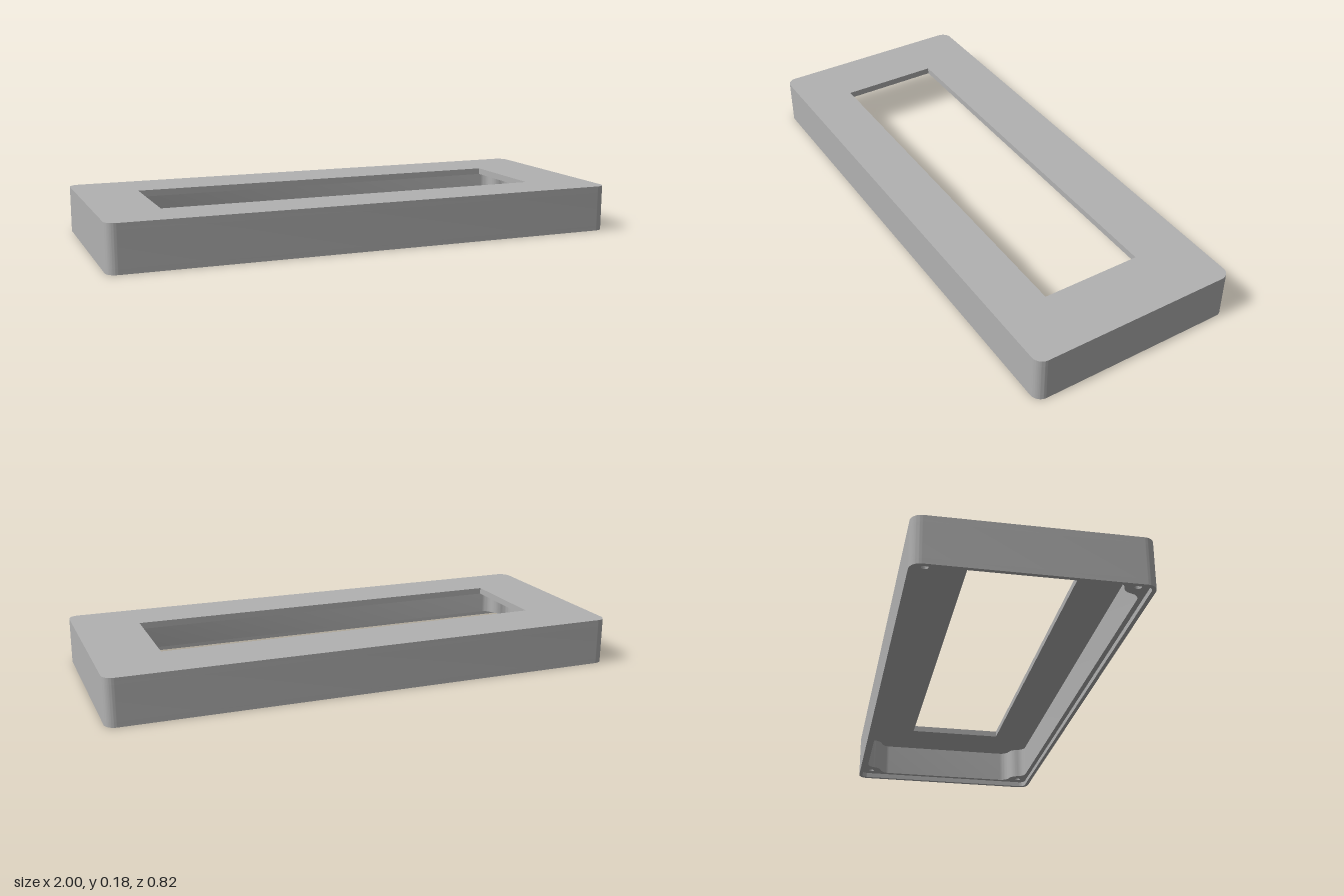
import * as THREE from 'three';
import { toCreasedNormals } from 'three/addons/utils/BufferGeometryUtils.js';

const HX = 1, HZ = 0.408, HEIGHT = 0.18;   // half length, half depth, height
const RECESS = 0.02, PLATE = 0.025;        // lip height, face plate thickness
const WALL = 0.033, LIP = 0.015;
const BOSS = 0.055, BOSS_R = 0.045, FILLET = 0.04, SCREW_R = 0.012;
const CORNERS = [[1, 1], [-1, 1], [-1, -1], [1, -1]];

function roundedRect(target, hx, hz, r) {
  target.absarc(hx - r, hz - r, r, 0, Math.PI / 2);
  target.absarc(-hx + r, hz - r, r, Math.PI / 2, Math.PI);
  target.absarc(-hx + r, -hz + r, r, Math.PI, Math.PI * 1.5);
  target.absarc(hx - r, -hz + r, r, Math.PI * 1.5, Math.PI * 2);
  target.closePath();
  return target;
}

// Outline of the cavity: straight walls with a filleted screw boss in each corner
function cavityOutline() {
  const dv = WALL + FILLET - BOSS;
  const du = Math.sqrt((BOSS_R + FILLET) ** 2 - dv * dv);
  const a = Math.atan2(dv, du);
  const local = [];
  const arc = (cu, cv, r, from, to, n) => {
    for (let i = 0; i <= n; i++) {
      const t = from + (to - from) * i / n;
      local.push([cu + r * Math.cos(t), cv + r * Math.sin(t)]);
    }
  };
  arc(BOSS + du, BOSS + dv, FILLET, -Math.PI / 2, a - Math.PI, 8);
  arc(BOSS, BOSS, BOSS_R, a, Math.PI / 2 - a, 10);
  arc(BOSS + dv, BOSS + du, FILLET, Math.PI * 1.5 - a, Math.PI, 8);
  // drop the doubled points where arcs meet
  const profile = local.filter((p, i) => !i ||
    Math.hypot(p[0] - local[i - 1][0], p[1] - local[i - 1][1]) > 1e-5);

  const points = [];
  for (const [sx, sz] of CORNERS) {
    const side = sx * sz > 0 ? [...profile].reverse() : profile;
    for (const [u, v] of side) points.push(new THREE.Vector2(sx * (HX - u), sz * (HZ - v)));
  }
  return new THREE.Path(points);
}

export function createModel() {
  const group = new THREE.Group();
  group.name = 'displayBezel';
  const grey = new THREE.MeshStandardMaterial({ color: 0xb2b2b2 });
  grey.name = 'grey plastic';

  const addLayer = (name, holes, y, height) => {
    const shape = roundedRect(new THREE.Shape(), HX, HZ, 0.04);
    shape.holes.push(...holes);
    const geo = new THREE.ExtrudeGeometry(shape, { depth: height, bevelEnabled: false, curveSegments: 10 });
    geo.rotateX(-Math.PI / 2);
    geo.translate(0, y, 0);
    const mesh = new THREE.Mesh(toCreasedNormals(geo, 0.6), grey);
    mesh.name = name;
    group.add(mesh);
  };

  // Face plate with the slightly off-centre window
  const window = new THREE.Path([[-0.765, -0.21], [0.75, -0.21], [0.75, 0.18], [-0.765, 0.18]]
    .map(([x, y]) => new THREE.Vector2(x, y)));
  addLayer('facePlate', [window], HEIGHT - PLATE, PLATE);

  // Side walls with corner bosses and their screw holes
  const screwHoles = CORNERS.map(([sx, sz]) => new THREE.Path()
    .absarc(sx * (HX - BOSS), sz * (HZ - BOSS), SCREW_R, 0, Math.PI * 2));
  addLayer('wallsAndBosses', [cavityOutline(), ...screwHoles], RECESS, HEIGHT - PLATE - RECESS);

  // Thin lip around the open underside
  addLayer('bottomLip', [roundedRect(new THREE.Path(), HX - LIP, HZ - LIP, 0.025)], 0, RECESS);

  return group;
}
